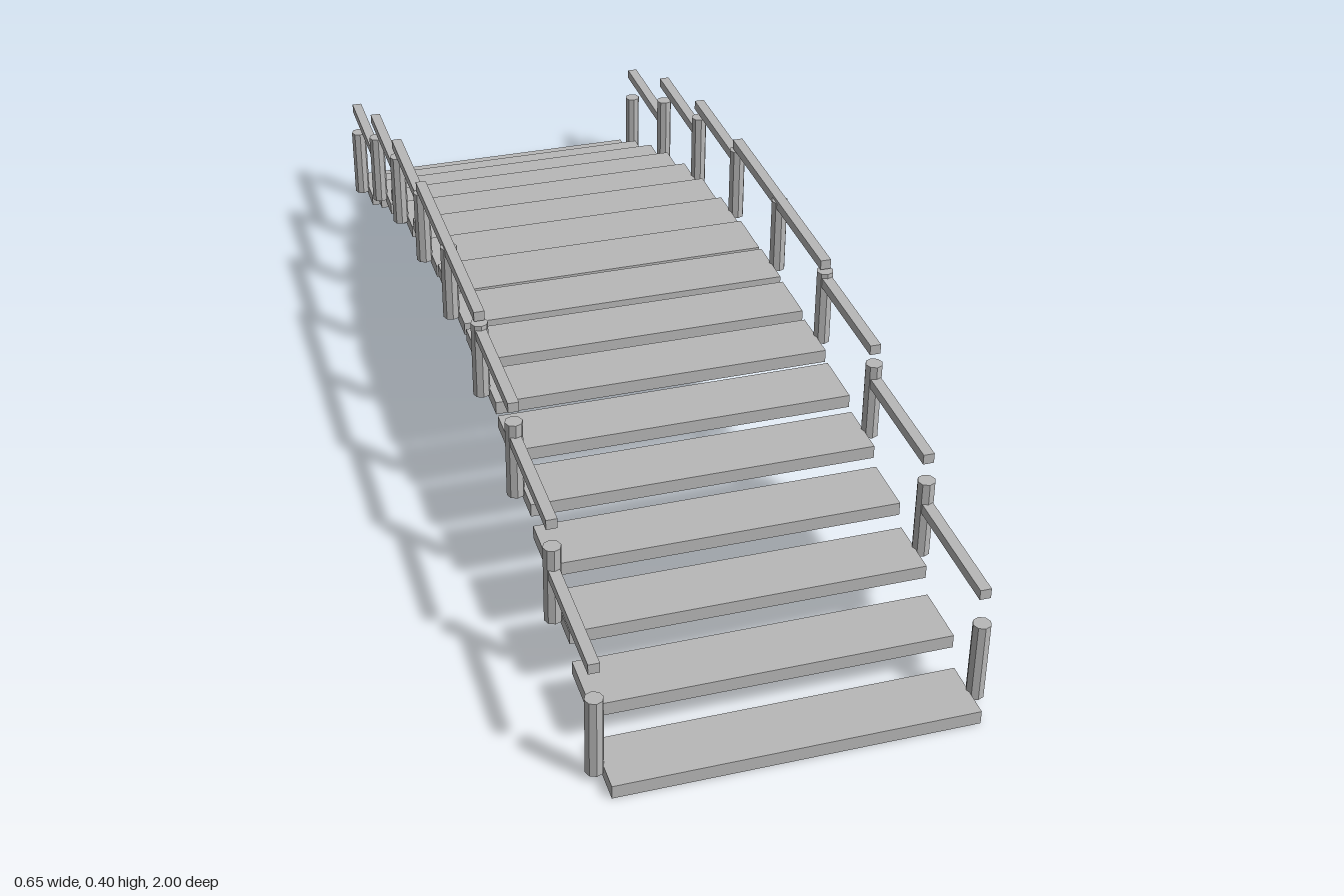
import * as THREE from 'three';

const grey = new THREE.MeshStandardMaterial({ color: 0xb8b8b8 });
grey.name = 'grey';

const PLANKS = 17;
const END_Z = 0.947;
const STEP = (2 * END_Z) / (PLANKS - 1);
const RISE = 0.238;
const THICK = 0.0236;
const POST_H = 0.142;
const SIDE_X = 0.308;

// Parabolic arch: height of a plank's centre at z
const archY = (z) => THICK / 2 + RISE * (1 - (z / END_Z) ** 2);

export function createModel() {
  const bridge = new THREE.Group();
  bridge.name = 'archedFootbridge';

  const plankGeo = new THREE.BoxGeometry(0.592, THICK, 0.106);
  const postGeo = new THREE.CylinderGeometry(0.015, 0.015, POST_H, 8).toNonIndexed();
  postGeo.computeVertexNormals(); // faceted sides
  const railGeo = new THREE.BoxGeometry(0.0185, 0.0178, 0.24);

  const add = (name, geo, x, y, z) => {
    const mesh = new THREE.Mesh(geo, grey);
    mesh.name = name;
    mesh.position.set(x, y, z);
    bridge.add(mesh);
  };

  // Deck planks stepping over the arch
  for (let i = 0; i < PLANKS; i++) {
    const z = -END_Z + i * STEP;
    add('plank', plankGeo, 0, archY(z), z);
  }

  // Posts on every second plank, with a level rail over each bay
  for (const side of [-1, 1]) {
    const x = side * SIDE_X;
    const prefix = side > 0 ? 'left' : 'right';
    for (let i = 0; i < PLANKS; i += 2) {
      const z = -END_Z + i * STEP;
      add(prefix + 'Post', postGeo, x, archY(z) + POST_H / 2, z);
      if (i + 2 < PLANKS) {
        const next = z + 2 * STEP;
        const y = (archY(z) + archY(next)) / 2 + POST_H + 0.005;
        add(prefix + 'Rail', railGeo, x, y, z + STEP);
      }
    }
  }
  return bridge;
}
